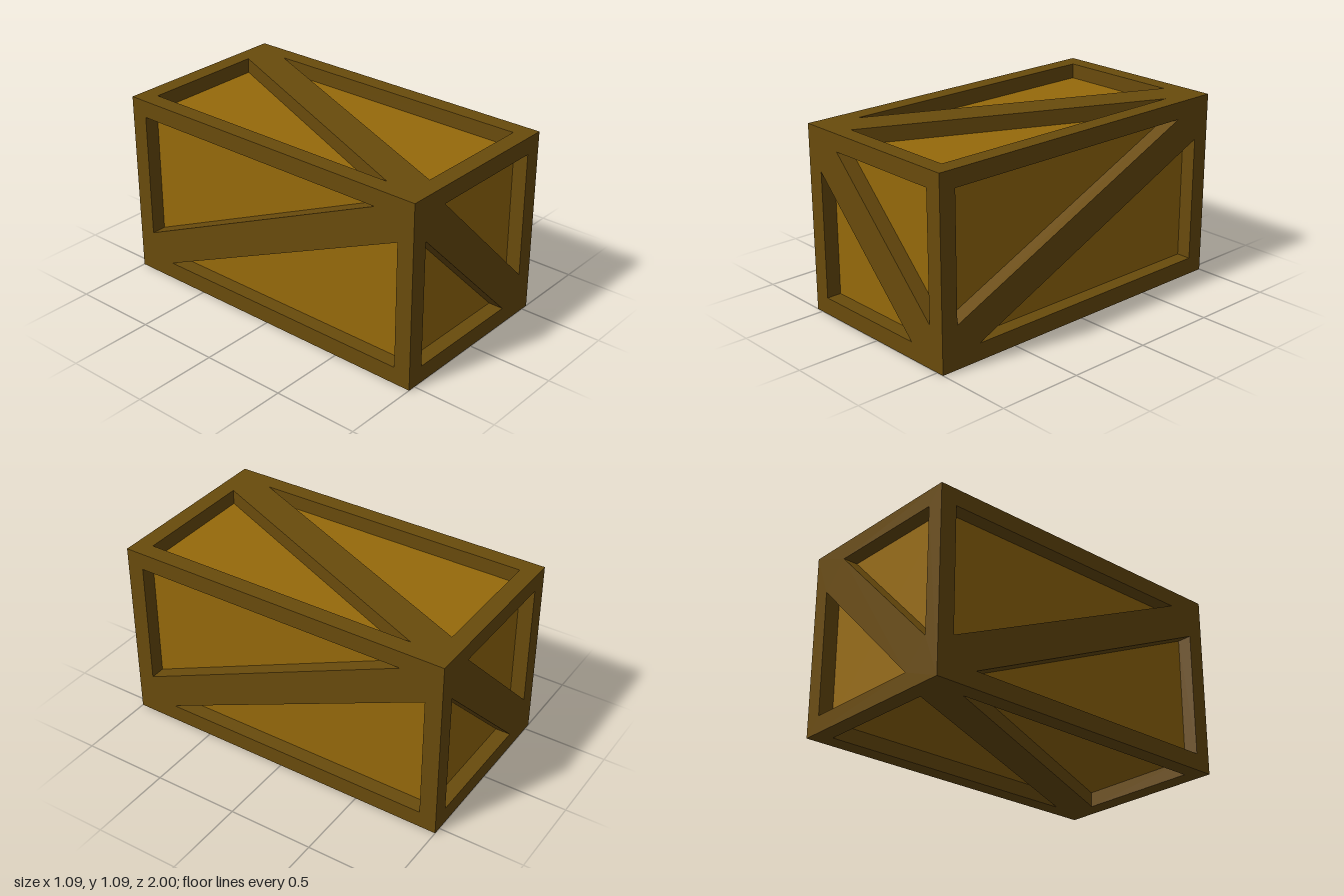
import * as THREE from 'three';
import { mergeGeometries } from 'three/addons/utils/BufferGeometryUtils.js';

const W = 1.09, H = 1.09, L = 2;   // crate size
const RIM = 0.1;                   // width of the border boards
const DEPTH = 0.088;               // how far the panels sit back
const CUT = 0.15;                  // half width of the brace, measured along the border

// Two triangular openings left between the border and the diagonal brace
function openings(w, h, rising) {
  const a = w / 2 - RIM, b = h / 2 - RIM;
  const upper = [[a, b], [-a + CUT, b], [a, -b + CUT]];
  const lower = upper.map(([x, y]) => [-x, -y]);
  return [upper, lower].map(tri =>
    (rising ? tri.map(([x, y]) => [-x, y]).reverse() : tri).map(p => new THREE.Vector2(...p)));
}

// Inward-facing walls of one opening (corners run counter-clockwise)
function openingWalls(points) {
  const pos = [];
  points.forEach((p, i) => {
    const q = points[(i + 1) % points.length];
    pos.push(p.x, p.y, 0, q.x, q.y, 0, q.x, q.y, -DEPTH);
    pos.push(p.x, p.y, 0, q.x, q.y, -DEPTH, p.x, p.y, -DEPTH);
  });
  const g = new THREE.BufferGeometry();
  g.setAttribute('position', new THREE.Float32BufferAttribute(pos, 3));
  g.computeVertexNormals();
  return g;
}

// Border and brace of one crate side, facing +z
function sideFrame(w, h, rising) {
  const shape = new THREE.Shape([
    new THREE.Vector2(-w / 2, -h / 2), new THREE.Vector2(w / 2, -h / 2),
    new THREE.Vector2(w / 2, h / 2), new THREE.Vector2(-w / 2, h / 2),
  ]);
  const holes = openings(w, h, rising);
  shape.holes = holes.map(pts => new THREE.Path(pts));
  const face = new THREE.ShapeGeometry(shape).toNonIndexed();
  face.deleteAttribute('uv');
  return mergeGeometries([face, ...holes.map(openingWalls)]);
}

export function createModel() {
  const group = new THREE.Group();
  group.name = 'crate';
  const frameWood = new THREE.MeshStandardMaterial({ color: 0x694b0c });
  frameWood.name = 'dark wood';
  const panelWood = new THREE.MeshStandardMaterial({ color: 0x966a0b });
  panelWood.name = 'light wood';

  // Recessed panels: one inner box
  const panels = new THREE.Mesh(
    new THREE.BoxGeometry(W - 2 * DEPTH, H - 2 * DEPTH, L - 2 * DEPTH), panelWood);
  panels.name = 'panels';
  panels.position.y = H / 2;
  group.add(panels);

  // Framed sides: name, width, height, distance from centre, rotation, brace rises to the right
  const q = Math.PI / 2;
  const sides = [
    ['frontFrame', W, H, L / 2, 0, 0, false],
    ['backFrame', W, H, L / 2, 0, 2 * q, false],
    ['leftFrame', L, H, W / 2, 0, q, true],
    ['rightFrame', L, H, W / 2, 0, -q, true],
    ['topFrame', W, L, H / 2, -q, 0, true],
    ['bottomFrame', W, L, H / 2, q, 0, true],
  ];
  for (const [name, w, h, dist, rx, ry, rising] of sides) {
    const mesh = new THREE.Mesh(sideFrame(w, h, rising), frameWood);
    mesh.name = name;
    mesh.rotation.set(rx, ry, 0);
    mesh.position.set(0, 0, dist).applyEuler(mesh.rotation);
    mesh.position.y += H / 2;
    group.add(mesh);
  }
  return group;
}
